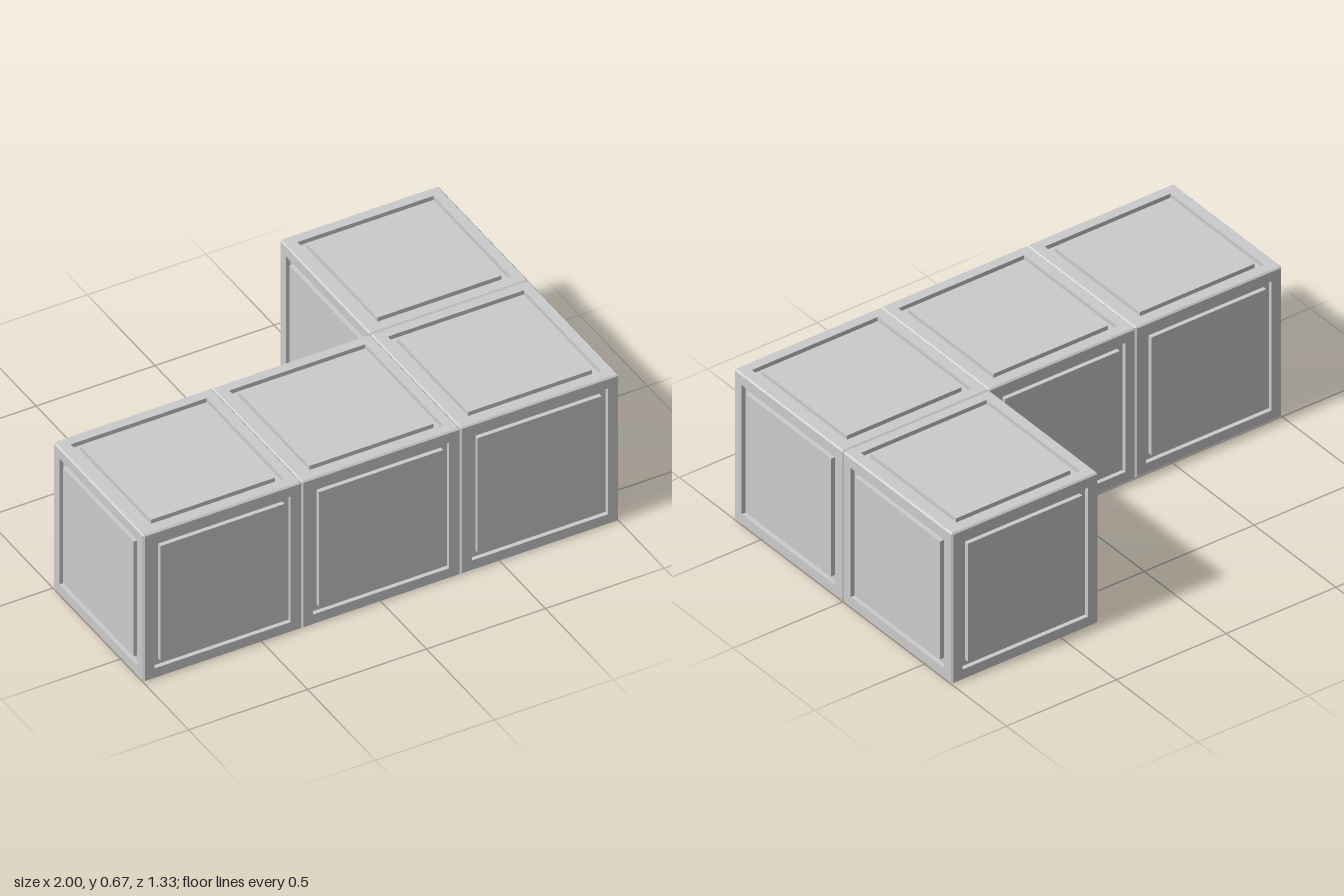
import * as THREE from 'three';
import { mergeGeometries } from 'three/addons/utils/BufferGeometryUtils.js';

const H = 1 / 3;        // half the edge of one cube
const BEVEL = 0.006;    // edge chamfer
const DEPTH = 0.018;    // depth of the groove round each panel

// One cube face: a four-sided lathe from the chamfer, over the frame and groove, to the panel centre
function faceGeometry() {
  const profile = [
    [H - BEVEL / 2, H - BEVEL / 2],
    [H - BEVEL, H],
    [0.286, H],
    [0.286, H - DEPTH],
    [0.261, H - DEPTH],
    [0.261, H],
    [0, H],
  ].map(([half, y]) => new THREE.Vector2(half * Math.SQRT2, y));
  const face = new THREE.LatheGeometry(profile, 4, Math.PI / 4).toNonIndexed();
  face.computeVertexNormals();
  return face;
}

// Six faces turned outward make the closed block
function blockGeometry() {
  const q = Math.PI / 2;
  const turns = [[0, 0], [q, 0], [2 * q, 0], [-q, 0], [0, q], [0, -q]];
  return mergeGeometries(turns.map(([rx, rz]) =>
    faceGeometry().rotateX(rx).rotateZ(rz)));
}

export function createModel() {
  const group = new THREE.Group();
  group.name = 'cornerBlockPiece';
  const material = new THREE.MeshStandardMaterial({ color: 0xcccccc, flatShading: true });
  const geometry = blockGeometry();

  // Row of three along the front, one behind the left end
  const cells = {
    rightBlock: [-2 * H, H],
    middleBlock: [0, H],
    leftBlock: [2 * H, H],
    backBlock: [2 * H, -H],
  };
  for (const [name, [x, z]] of Object.entries(cells)) {
    const block = new THREE.Mesh(geometry, material);
    block.name = name;
    block.position.set(x, H, z);
    group.add(block);
  }
  return group;
}
